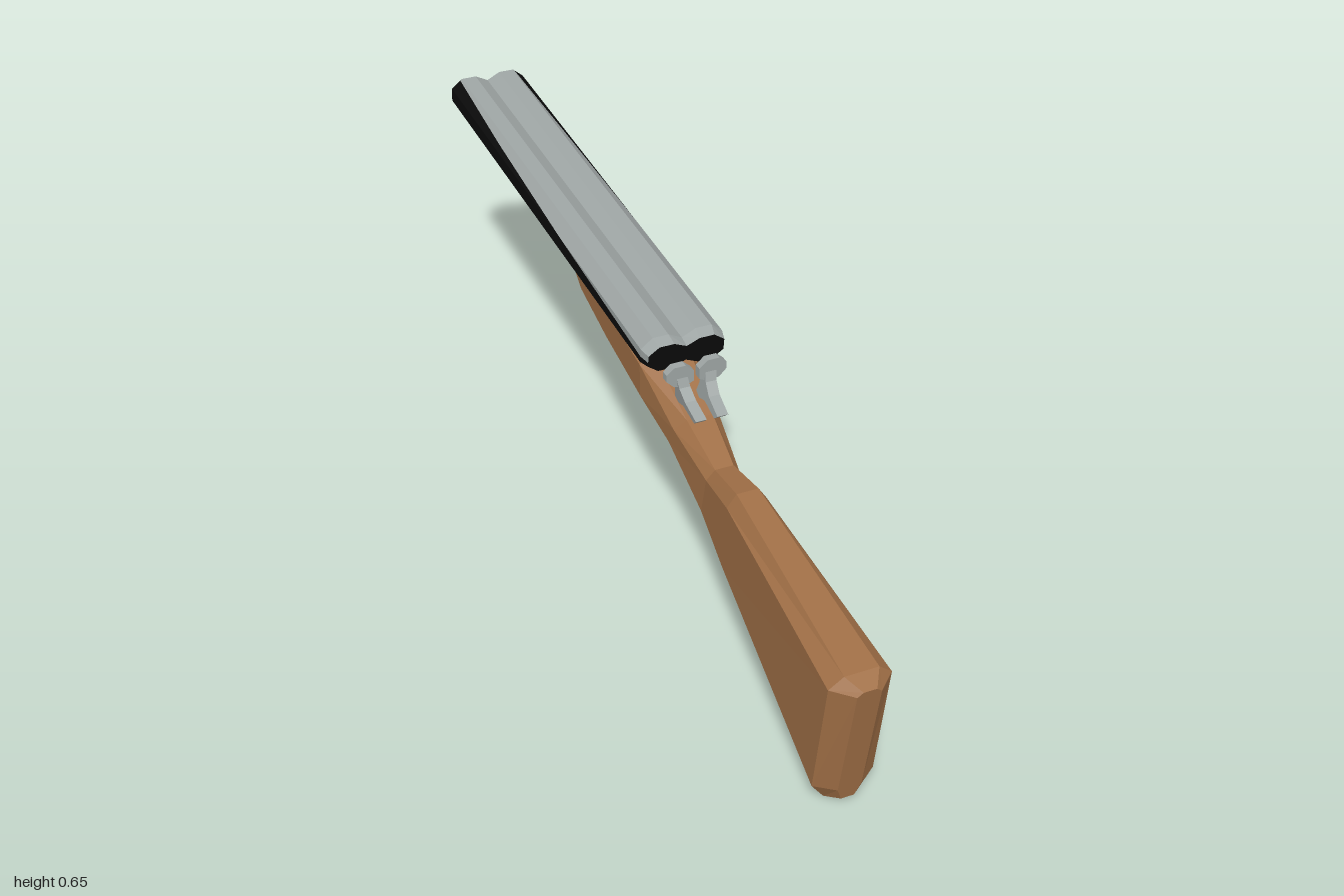
import * as THREE from 'three';

const mat = (name, color) => {
  const m = new THREE.MeshStandardMaterial({ color, flatShading: true });
  m.name = name;
  return m;
};

// Skins a row of cross-sections running from +z to -z, each counter-clockwise seen from +z.
function loft(rings, closed = true, caps = true) {
  const pos = [];
  const tri = (...pts) => pts.forEach((p) => pos.push(p.x, p.y, p.z));
  const n = rings[0].length;
  for (let i = 0; i + 1 < rings.length; i++) {
    const a = rings[i], b = rings[i + 1];
    for (let j = 0; j < (closed ? n : n - 1); j++) {
      const k = (j + 1) % n;
      tri(a[j], b[j], b[k]);
      tri(a[j], b[k], a[k]);
    }
  }
  const cap = (ring, flip) => {
    const c = ring.reduce((s, p) => s.add(p), new THREE.Vector3()).divideScalar(n);
    ring.forEach((p, j) => {
      const q = ring[(j + 1) % n];
      if (flip) tri(c, q, p);
      else tri(c, p, q);
    });
  };
  if (caps) {
    cap(rings[0], false);
    cap(rings[rings.length - 1], true);
  }
  const g = new THREE.BufferGeometry();
  g.setAttribute('position', new THREE.Float32BufferAttribute(pos, 3));
  g.computeVertexNormals();
  return g;
}

export function createModel() {
  const model = new THREE.Group();
  const wood = mat('wood', 0xa06f46);
  const steel = mat('steel', 0x9ea5a4);
  const black = mat('black metal', 0x0a0a0a);
  const add = (name, geo, material, parent = model) => {
    const m = new THREE.Mesh(geo, material);
    m.name = name;
    parent.add(m);
    return m;
  };

  // Stock: eight-sided sections, slanted at the butt
  // [top z, top y, bottom z, bottom y, half width, centre x, shoulder drop, lower chamfer]
  const stock = [
    [1.0, 0.325, 0.945, 0.015, 0.025, -0.012, 0.01, 0.03],
    [0.965, 0.342, 0.915, 0.004, 0.065, -0.012, 0.025, 0.042],
    [0.48, 0.412, 0.46, 0.19, 0.043, -0.008, 0.03, 0.035],
    [0.37, 0.395, 0.335, 0.245, 0.037, -0.006, 0.025, 0.035],
    [0.25, 0.44, 0.195, 0.335, 0.052, -0.005, 0.025, 0.035],
    [0.10, 0.515, 0.105, 0.385, 0.07, -0.003, 0.02, 0.035],
    [-0.10, 0.53, -0.10, 0.413, 0.064, 0, 0.02, 0.03],
    [-0.26, 0.54, -0.26, 0.44, 0.056, 0, 0.02, 0.03],
    [-0.36, 0.548, -0.36, 0.488, 0.045, 0, 0.015, 0.02],
    [-0.42, 0.553, -0.42, 0.54, 0.028, 0, 0.004, 0.004],
  ];
  const stockRings = stock.map(([zt, yt, zb, yb, w, cx, s, c]) => {
    const at = (x, y) =>
      new THREE.Vector3(cx + x, y, zb + ((zt - zb) * (y - yb)) / (yt - yb));
    const right = [at(w * 0.55, yb), at(w, yb + c), at(w, yt - s), at(w * 0.55, yt)];
    const left = [at(-w * 0.55, yt), at(-w, yt - s), at(-w, yb + c), at(-w * 0.55, yb)];
    return [...right, ...left];
  });
  add('stock', loft(stockRings), wood);

  // Twin barrels: one double-octagon outline, split into bright top and dark underside
  // [z, split x, split y, scale]
  const stations = [
    [0.17, 0.09, -0.004, 0.8],
    [0.145, 0.09, -0.002, 1],
    [-0.3, 0.09, 0.016, 1],
    [-0.7, 0.08, 0.0248, 1],
    [-0.993, 0.069, 0.0345, 1],
  ];
  const topRings = [], underRings = [], fullRings = [];
  for (const [z, bx, by, s] of stations) {
    const cy = 0.546 + (0.17 - z) * 0.0573;
    const sx = s < 1 ? 0.93 : 1;
    const at = ([x, y]) => new THREE.Vector3(x * sx, cy + y * s, z + y * 0.1);
    const mirror = (pts) => pts.map(([x, y]) => [-x, y]).reverse();
    const split = [bx, by], corner = [0.09, 0.016];
    const upper = [split, by > 0.016 ? split : corner, [0.065, 0.038], [0.03, 0.038]];
    const lower = [[0.03, -0.038], [0.065, -0.038], [0.09, -0.016], by > 0.016 ? corner : split, split];
    const top = [...upper, [0, 0.022], ...mirror(upper)];
    const under = [...mirror(lower), [0, -0.022], ...lower];
    topRings.push(top.map(at));
    underRings.push(under.map(at));
    fullRings.push([...top, ...under].map(at));
  }
  const barrels = new THREE.Group();
  barrels.name = 'barrels';
  model.add(barrels);
  add('barrelTop', loft(topRings, false, false), steel, barrels);
  add('barrelUnderside', loft(underRings, false, false), black, barrels);
  // Breech and muzzle end faces
  const ends = loft([fullRings[0], fullRings[fullRings.length - 1]]);
  const n = fullRings[0].length;
  const endFaces = new THREE.BufferGeometry();
  endFaces.setAttribute('position',
    new THREE.Float32BufferAttribute(ends.attributes.position.array.slice(n * 18), 3));
  endFaces.computeVertexNormals();
  add('barrelEnds', endFaces, black, barrels);

  // Trigger guard and trigger: [z, y] paths
  const rod = (name, pts, segments, r) => {
    const curve = new THREE.CatmullRomCurve3(pts.map(([z, y]) => new THREE.Vector3(0, y, z)));
    add(name, new THREE.TubeGeometry(curve, segments, r, 6), black);
  };
  rod('triggerGuard',
    [[0.205, 0.35], [0.17, 0.318], [0.12, 0.305], [0.07, 0.318], [0.035, 0.345], [0.025, 0.405]], 10, 0.009);
  rod('trigger', [[0.12, 0.385], [0.11, 0.355], [0.092, 0.335]], 4, 0.007);

  // Hammers: a faceted plate with a stem and a thumb spur
  const extrude = (pts, depth) => new THREE.ExtrudeGeometry(
    new THREE.Shape(pts.map(([a, b]) => new THREE.Vector2(a, b))), { depth, bevelEnabled: false });
  for (const side of [1, -1]) {
    const hammer = new THREE.Group();
    hammer.name = side > 0 ? 'leftHammer' : 'rightHammer';
    const platePts = [[0.006, 0.512], [0.025, 0.503], [0.05, 0.507], [0.066, 0.523],
      [0.066, 0.538], [0.05, 0.552], [0.024, 0.552], [0.006, 0.536]].map(([x, y]) => [x * side, y]);
    const plate = extrude(platePts, 0.018);
    plate.translate(0, 0, 0.203);
    add('hammerPlate', plate, steel, hammer);
    const spur = extrude([[0.19, 0.455], [0.212, 0.46], [0.235, 0.467], [0.285, 0.455],
      [0.297, 0.466], [0.25, 0.484], [0.228, 0.505], [0.219, 0.53], [0.205, 0.53], [0.202, 0.49]], 0.024);
    spur.rotateY(-Math.PI / 2);
    // swap so the profile runs along z, leaning outward towards the plate
    const p = spur.attributes.position;
    for (let i = 0; i < p.count; i++) {
      const lean = (p.getY(i) - 0.455) * 0.14;
      p.setX(i, p.getX(i) + (side > 0 ? 0.034 + lean : -0.01 - lean));
    }
    spur.computeVertexNormals();
    add('hammerSpur', spur, steel, hammer);
    model.add(hammer);
  }
  return model;
}
